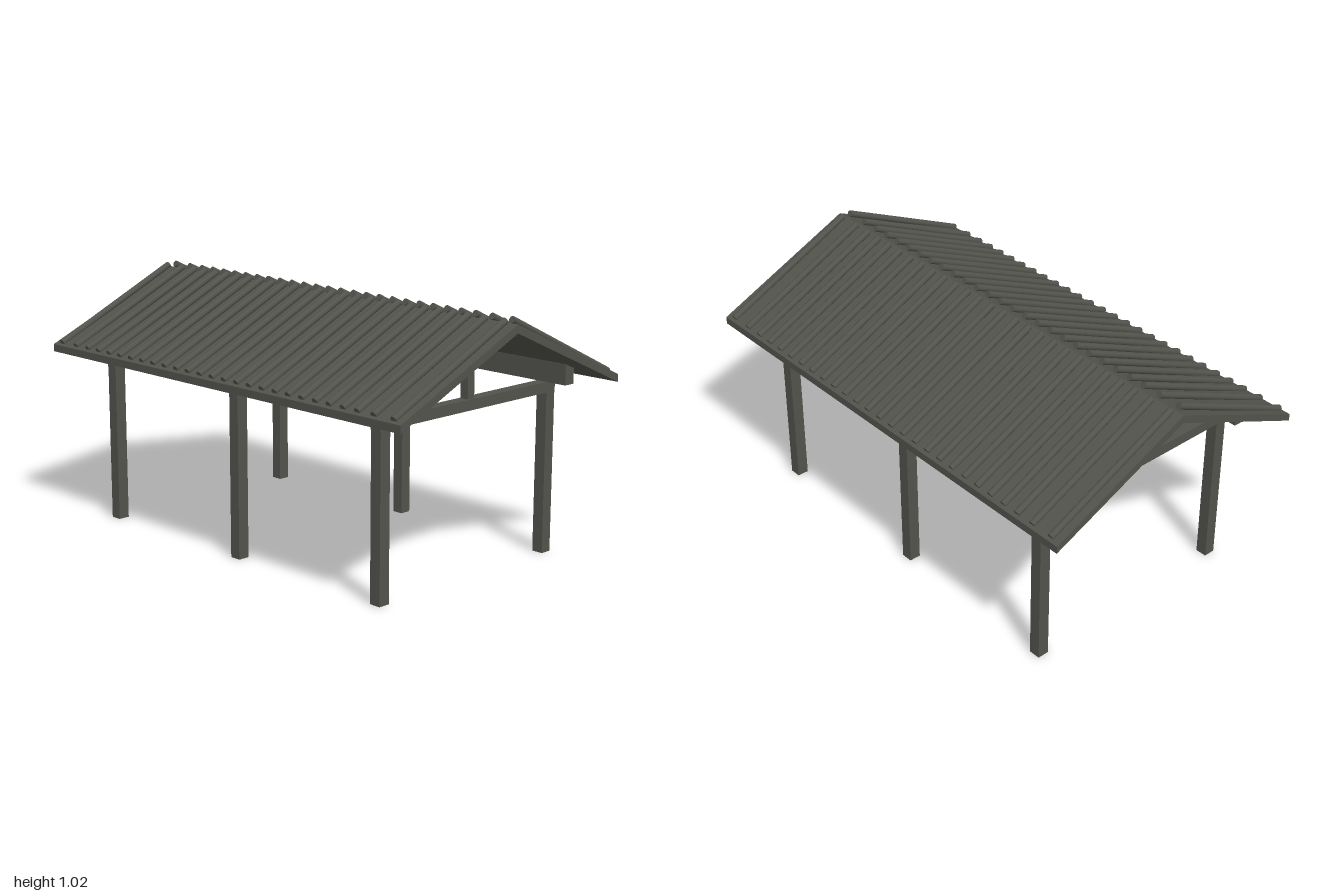
import * as THREE from 'three';

export function createModel() {
  const model = new THREE.Group();
  model.name = 'openShelter';
  const timber = new THREE.MeshStandardMaterial({ color: 0x53534d });
  timber.name = 'dark grey';

  const add = (name, geometry, x, y, z) => {
    const mesh = new THREE.Mesh(geometry, timber);
    mesh.name = name;
    mesh.position.set(x, y, z);
    model.add(mesh);
    return mesh;
  };
  // Box given by its width, depth and its bottom and top heights
  const beam = (name, w, d, y0, y1, x, z) =>
    add(name, new THREE.BoxGeometry(w, y1 - y0, d), x, (y0 + y1) / 2, z);

  // Trusses: two posts, a tie beam and a king post
  for (const x of [-0.765, 0, 0.765]) {
    for (const s of [-1, 1]) beam('post', 0.048, 0.048, 0, 0.65, x, s * 0.458);
    beam('tieBeam', 0.048, 0.968, 0.65, 0.692, x, 0);
    beam('kingPost', 0.036, 0.036, 0.692, 0.905, x, 0);
  }

  // Beams running the length of the roof
  for (const s of [-1, 1]) beam('wallPlate', 1.76, 0.05, 0.692, 0.774, 0, s * 0.458);
  beam('ridgeBeam', 1.76, 0.036, 0.905, 0.965, 0, 0);

  // Folded roof slab, profile drawn across the gable and extruded along x
  const profile = new THREE.Shape([
    [-0.604, 0.7], [0, 0.967], [0.604, 0.7], [0.604, 0.73], [0, 1.0], [-0.604, 0.73],
  ].map(([z, y]) => new THREE.Vector2(z, y)));
  const slab = new THREE.ExtrudeGeometry(profile, { depth: 2, bevelEnabled: false });
  slab.translate(0, 0, -1).rotateY(Math.PI / 2);
  add('roof', slab, 0, 0, 0);

  // Round ribs down both slopes, spaced wider at the gables
  const ribX = [-0.955, -0.86, 0.86, 0.955];
  for (let i = -11; i <= 11; i++) ribX.push(i * 0.0709);
  const run = 0.573, drop = 0.27;
  const rib = new THREE.CylinderGeometry(0.0135, 0.0135, Math.hypot(run, drop), 16);
  for (const s of [-1, 1]) {
    for (const x of ribX) {
      add('roofRib', rib, x, 1.01 - drop / 2, s * (0.019 + run / 2))
        .rotation.x = Math.atan2(s * run, -drop);
    }
  }
  return model;
}
